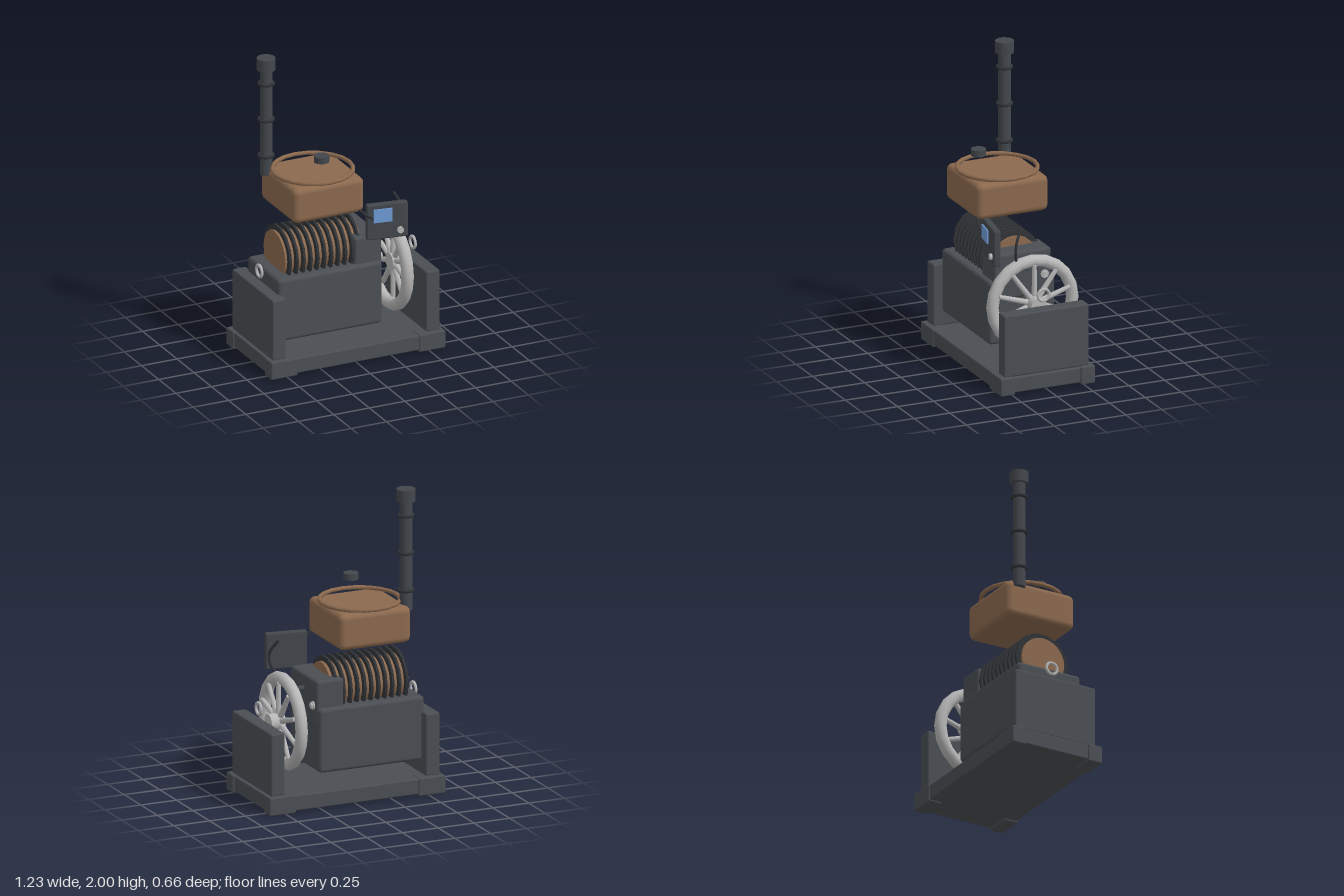
import * as THREE from 'three';
import { RoundedBoxGeometry } from 'three/addons/geometries/RoundedBoxGeometry.js';

function material(name, color) {
  const m = new THREE.MeshStandardMaterial({ color });
  m.name = name;
  return m;
}

export function createModel() {
  const model = new THREE.Group();
  model.name = 'stationaryEngine';
  const casing = material('casing grey', 0x4a4e53);
  const pipeGrey = material('pipe grey', 0x43474c);
  const black = material('fin black', 0x303337);
  const copper = material('copper brown', 0x8b694e);
  const steel = material('steel', 0xb6b6b6);
  const blue = material('screen blue', 0x6e9bd6);

  function add(name, geometry, mat, x = 0, y = 0, z = 0, parent = model) {
    const mesh = new THREE.Mesh(geometry, mat);
    mesh.name = name;
    mesh.position.set(x, y, z);
    parent.add(mesh);
    return mesh;
  }
  // Box given by its limits on each axis
  function box(name, mat, [x0, x1], [y0, y1], [z0, z1], r = 0.01, parent = model) {
    return add(name, new RoundedBoxGeometry(x1 - x0, y1 - y0, z1 - z0, 3, r), mat,
      (x0 + x1) / 2, (y0 + y1) / 2, (z0 + z1) / 2, parent);
  }
  const cyl = (r, length, sides = 24, r2 = r) => new THREE.CylinderGeometry(r, r2, length, sides);
  const cylX = (r, length, sides) => cyl(r, length, sides).rotateZ(Math.PI / 2);
  const ringX = (r, tube, n, m = 10) => new THREE.TorusGeometry(r, tube, m, n).rotateY(Math.PI / 2);
  const ringY = (r, tube, n) => new THREE.TorusGeometry(r, tube, 8, n).rotateX(Math.PI / 2);

  // Base with corner feet, end plates and lifting eyes
  box('basePlate', casing, [-0.605, 0.605], [0.012, 0.115], [-0.322, 0.322]);
  for (const s of [-1, 1]) {
    for (const t of [-1, 1]) {
      add('cornerFoot', new RoundedBoxGeometry(0.187, 0.12, 0.1, 3, 0.01), casing,
        s * 0.5215, 0.06, t * 0.28);
    }
    add('endPlate', new RoundedBoxGeometry(0.097, 0.415, 0.59, 3, 0.012), casing, s * 0.5415, 0.3225, 0);
    add('liftingEye', ringX(0.039, 0.01, 20, 8), steel, s * 0.541, 0.617, 0);
  }

  // Crankcase and head
  box('crankcase', casing, [-0.515, 0.22], [0.205, 0.63], [-0.23, 0.23], 0.025);
  box('cylinderHead', casing, [0.035, 0.228], [0.5, 0.81], [-0.2, 0.2], 0.02);
  for (const z of [-0.15, 0.15]) {
    add('headBoltWasher', cylX(0.028, 0.012, 12), steel, 0.231, 0.64, z);
    add('headBolt', cylX(0.02, 0.035, 6), steel, 0.232, 0.64, z);
  }
  add('outputShaft', cylX(0.017, 0.08), pipeGrey, 0.262, 0.715, 0);

  // Horizontal cylinder with cooling fins
  add('cylinderBarrel', cylX(0.156, 0.54, 24), copper, -0.165, 0.715, 0);
  for (let i = 0; i < 11; i++) {
    add('coolingFin', cylX(0.194, 0.016, 14), black, -0.411 + i * 0.0488, 0.715, 0);
  }

  // Flywheel
  const wheel = new THREE.Group();
  wheel.name = 'flywheel';
  wheel.position.set(0.37, 0.515, 0);
  model.add(wheel);
  add('rim', ringX(0.279, 0.04, 20, 12), steel, 0, 0, 0, wheel);
  add('hub', cylX(0.057, 0.1, 20), steel, 0.055, 0, 0, wheel);
  for (let i = 0; i < 10; i++) {
    const spoke = add('spoke', cyl(0.015, 0.23, 8, 0.02).translate(0, 0.145, 0), steel, 0.032, 0, 0, wheel);
    spoke.rotation.x = i * Math.PI / 5;
  }

  // Fuel tank, rim ring and cap
  box('fuelTank', copper, [-0.415, 0.085], [1.0, 1.24], [-0.25, 0.25], 0.04);
  add('tankRing', ringY(0.258, 0.014, 20), copper, -0.165, 1.254, 0);
  add('fuelCap', cyl(0.049, 0.042), pipeGrey, -0.165, 1.373, 0.13);

  // Exhaust stack
  add('exhaustPipe', cyl(0.04, 0.73), pipeGrey, -0.413, 1.565, -0.165);
  add('exhaustCap', cyl(0.06, 0.08), pipeGrey, -0.413, 1.96, -0.165);
  for (const y of [1.33, 1.578, 1.825]) {
    add('exhaustBand', ringY(0.044, 0.012, 20), black, -0.413, y, -0.165);
  }

  // Control panel
  const panel = new THREE.Group();
  panel.name = 'controlPanel';
  panel.position.set(0.247, 0.91, 0.226);
  panel.rotation.y = -0.16;
  model.add(panel);
  add('panelBody', new RoundedBoxGeometry(0.272, 0.24, 0.046, 3, 0.01), pipeGrey, 0, 0, 0, panel);
  add('screenMount', new THREE.BoxGeometry(0.115, 0.08, 0.012), black, -0.034, 0.048, 0.028, panel);
  add('screen', new THREE.BoxGeometry(0.125, 0.09, 0.009), blue, -0.034, 0.048, 0.036, panel);
  add('knob', cyl(0.021, 0.025, 16).rotateX(Math.PI / 2), steel, 0.083, -0.066, 0.028, panel);

  // Cables
  const cables = [
    [[0.05, 1.02, 0.24], [0.09, 0.98, 0.245], [0.16, 0.93, 0.235]],
    [[0.37, 1.02, 0.08], [0.405, 0.94, 0.125], [0.4, 0.86, 0.13], [0.35, 0.78, 0.1], [0.28, 0.71, 0.07]],
  ];
  for (const points of cables) {
    const curve = new THREE.CatmullRomCurve3(points.map((p) => new THREE.Vector3(...p)));
    const cable = add('cable', new THREE.TubeGeometry(curve, 24, 0.009, 8), black);
    for (const end of [points[0], points[points.length - 1]]) {
      add('cableEnd', new THREE.SphereGeometry(0.009, 8, 6), black, ...end, cable);
    }
  }
  return model;
}
